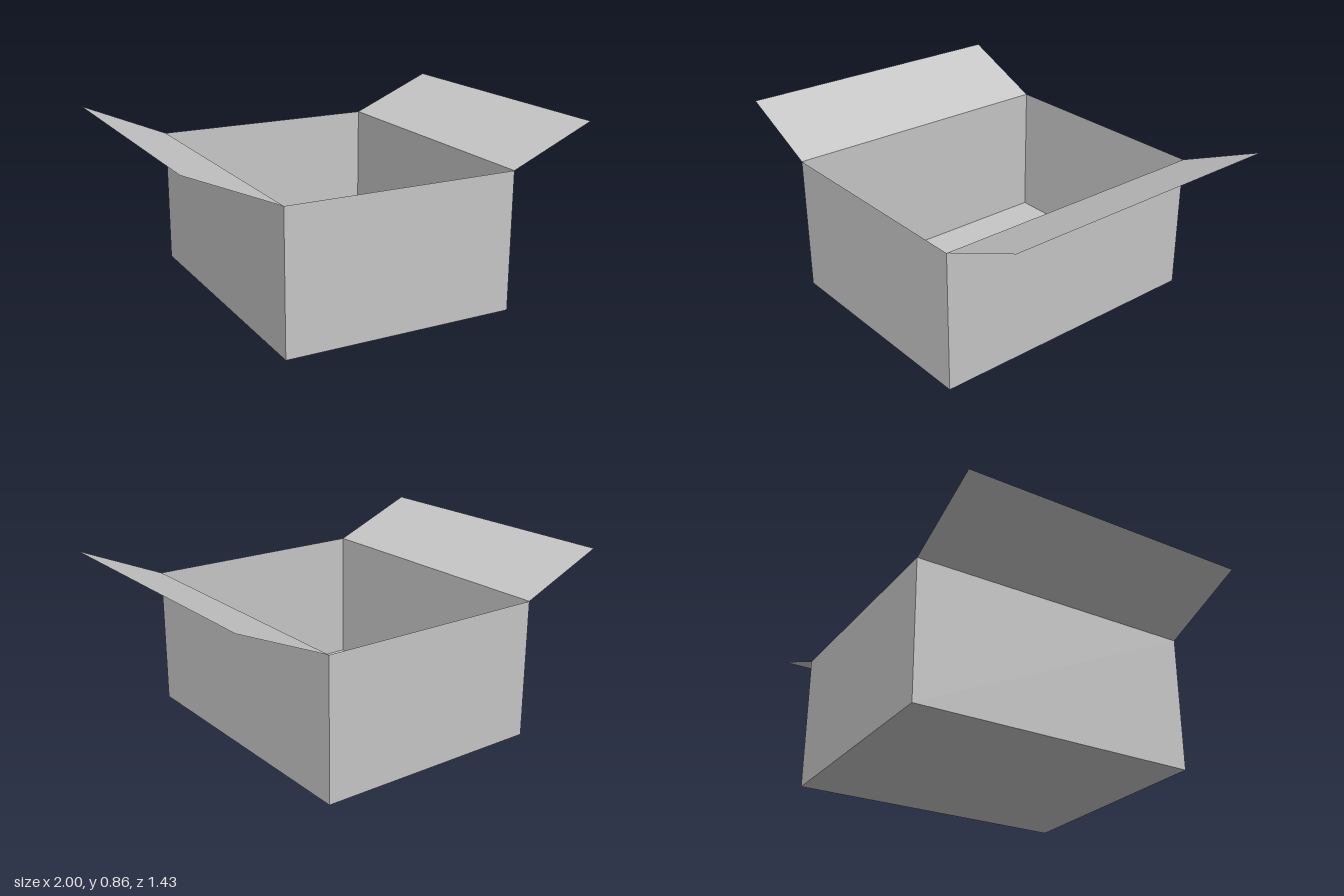
import * as THREE from 'three';

const W = 0.573, D = 0.714, H = 0.677; // half width, half depth, wall height
const FLAP_X = 1, FLAP_Y = 0.86; // outer edge of the side flaps

export function createModel() {
  const model = new THREE.Group();
  model.name = 'openBox';
  const cardboard = new THREE.MeshStandardMaterial({ color: 0xc6c6c6, side: THREE.DoubleSide });
  cardboard.name = 'greyCardboard';

  // Thin sheet from four corners, counter-clockwise seen from its front
  const sheet = (name, ...corners) => {
    const geometry = new THREE.BufferGeometry();
    geometry.setAttribute('position', new THREE.Float32BufferAttribute(corners.flat(), 3));
    geometry.setIndex([0, 1, 2, 0, 2, 3]);
    geometry.computeVertexNormals();
    const mesh = new THREE.Mesh(geometry, cardboard);
    mesh.name = name;
    model.add(mesh);
  };

  // Bottom, facing down
  sheet('bottom', [-W, 0, -D], [W, 0, -D], [W, 0, D], [-W, 0, D]);

  // Each pass makes one end wall, one side wall and one flap;
  // s turns the pieces half way round the vertical axis
  for (const s of [1, -1]) {
    const w = s * W, d = s * D, f = s * FLAP_X;
    sheet(s > 0 ? 'frontWall' : 'backWall', [-w, 0, d], [w, 0, d], [w, H, d], [-w, H, d]);
    sheet(s > 0 ? 'leftWall' : 'rightWall', [w, 0, d], [w, 0, -d], [w, H, -d], [w, H, d]);
    // Flap folded outward and up from the top of the side wall
    sheet(s > 0 ? 'leftFlap' : 'rightFlap', [w, H, d], [f, FLAP_Y, d], [f, FLAP_Y, -d], [w, H, -d]);
  }
  return model;
}
